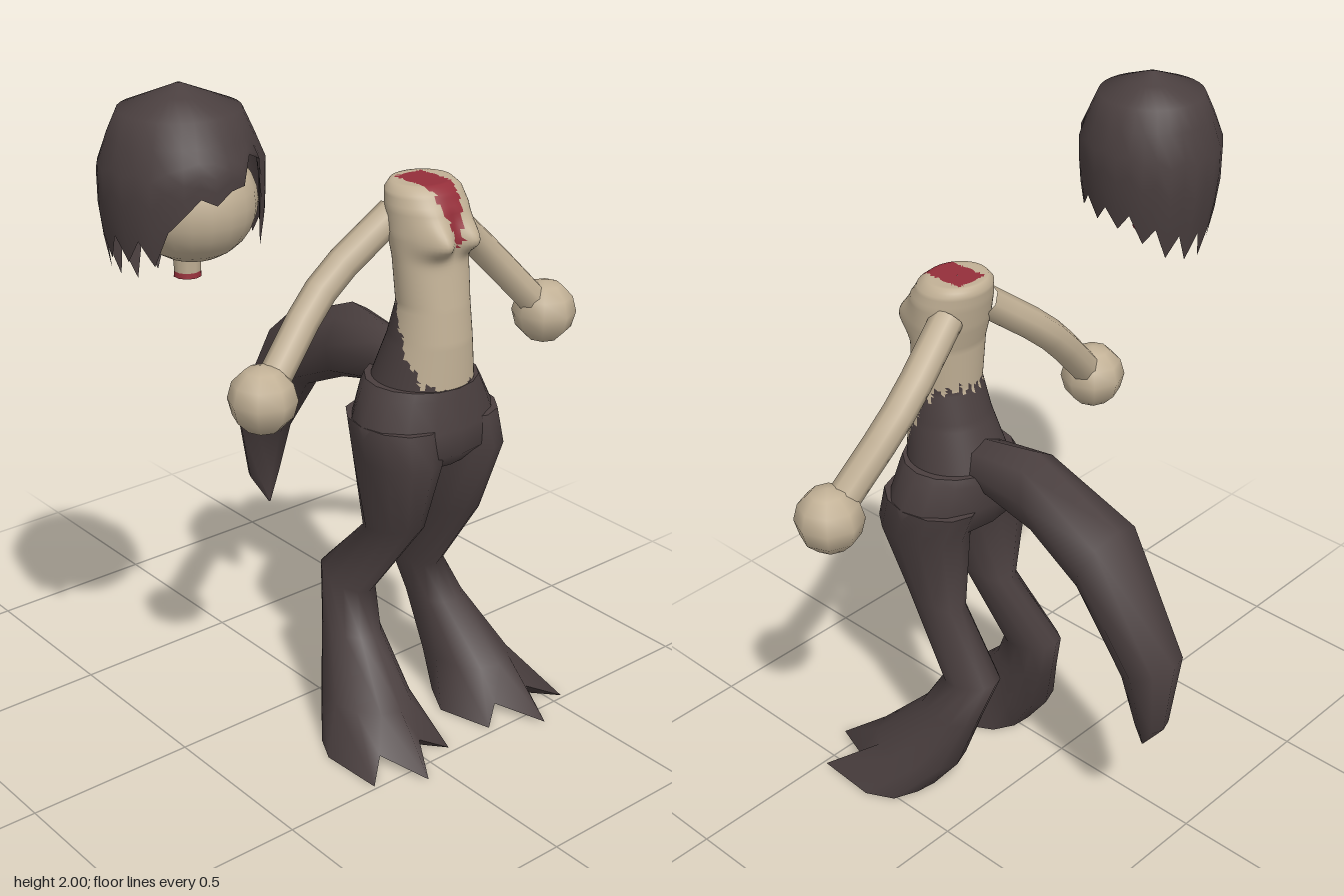
import * as THREE from 'three';

const TAU = Math.PI * 2;
const CX = 0.17; // body centre line

// Piecewise-linear lookup: rows are [key, v1, v2, ...] with descending or ascending keys
function lookup(rows, k) {
  const up = rows[0][0] < rows[rows.length - 1][0];
  const r = up ? rows : [...rows].reverse();
  if (k <= r[0][0]) return r[0].slice(1);
  for (let i = 1; i < r.length; i++) {
    if (k <= r[i][0]) {
      const t = (k - r[i - 1][0]) / (r[i][0] - r[i - 1][0]);
      return r[i].slice(1).map((v, j) => r[i - 1][j + 1] + (v - r[i - 1][j + 1]) * t);
    }
  }
  return r[r.length - 1].slice(1);
}

// Skin a list of rings; pick(centroid) chooses a material index for each triangle
function loft(rings, { flip = false, caps = true, pick = null } = {}) {
  const n = rings[0].length, pos = [], buckets = [[], [], []];
  const put = p => pos.push(p.x, p.y, p.z) / 3 - 1;
  const tri = (a, b, c) => {
    const mid = new THREE.Vector3();
    for (const k of [a, b, c]) mid.add(new THREE.Vector3().fromArray(pos, k * 3));
    const m = pick ? pick(mid.divideScalar(3)) : 0;
    buckets[m].push(...(flip ? [a, c, b] : [a, b, c]));
  };
  const ids = rings.map(r => r.map(put));
  for (let r = 0; r + 1 < ids.length; r++) {
    for (let i = 0; i < n; i++) {
      const j = (i + 1) % n, u = ids[r], l = ids[r + 1];
      tri(u[i], l[i], l[j]);
      tri(u[i], l[j], u[j]);
    }
  }
  if (caps) {
    [rings[0], rings[rings.length - 1]].forEach((ring, end) => {
      const centre = ring.reduce((s, p) => s.add(p), new THREE.Vector3()).divideScalar(n);
      const c = put(centre), e = ring.map(put);
      for (let i = 0; i < n; i++) {
        const j = (i + 1) % n;
        end ? tri(c, e[j], e[i]) : tri(c, e[i], e[j]);
      }
    });
  }
  const g = new THREE.BufferGeometry();
  g.setAttribute('position', new THREE.Float32BufferAttribute(pos, 3));
  g.setIndex(buckets.flat());
  let start = 0;
  if (pick) buckets.forEach((b, m) => { g.addGroup(start, b.length, m); start += b.length; });
  g.computeVertexNormals();
  return g;
}

// Tilted ellipse given by its front point, back point, centre x and half width
function ring([fy, fz, by, bz, cx, hw], n) {
  return Array.from({ length: n }, (_, i) => {
    const a = i / n * TAU, c = Math.cos(a) / 2;
    return new THREE.Vector3(cx + hw * Math.sin(a), (fy + by) / 2 + (fy - by) * c, (fz + bz) / 2 + (fz - bz) * c);
  });
}

const mirrorX = p => new THREE.Vector3(2 * CX - p.x, p.y, p.z);

function torsoGeometry() {
  // y, half width, front z, back z
  const profile = [[1.63, 0.088, 0.3, 0.14], [1.61, 0.108, 0.325, 0.13], [1.57, 0.117, 0.345, 0.135],
    [1.5, 0.118, 0.35, 0.15], [1.43, 0.112, 0.355, 0.17], [1.3, 0.105, 0.375, 0.18],
    [1.2, 0.118, 0.385, 0.15], [1.05, 0.148, 0.385, 0.09]];
  const n = 64, rings = [];
  const level = (y, s) => {
    const [hw, zf, zb] = lookup(profile, y);
    return ring([y, zf, y, zb, CX, hw], n).map(p => {
      const zc = (zf + zb) / 2;
      if (s === 1 && p.z > zc) { // chest volume
        const d = (Math.abs(p.x - CX) - 0.055) / 0.045;
        const e = (y - 1.485) / (y < 1.485 ? 0.035 : 0.06);
        p.z += 0.055 * Math.exp(-d * d - e * e) * Math.min(1, (p.z - zc) / 0.05);
      }
      p.x = CX + (p.x - CX) * s;
      p.z = zc + (p.z - zc) * s;
      return p;
    });
  };
  for (let s = 0.02; s < 0.99; s += 0.14) rings.push(level(1.63, s));
  for (let i = 0; i <= 58; i++) rings.push(level(1.63 - i * 0.01, 1));
  const furLine = [[0, 1.05], [0.5, 1.075], [0.9, 1.1], [1.3, 1.19], [1.6, 1.27], [1.9, 1.31], [3.2, 1.3]];
  const stain = [[1.46, 0.004], [1.54, 0.022], [1.58, 0.036], [1.64, 0.044]];
  return loft(rings, {
    caps: false,
    pick: p => {
      const a = Math.atan2(p.x - CX, p.z - 0.26);
      if (p.y < lookup(furLine, Math.abs(a))[0] + 0.012 * Math.sin(a * 17) + 0.008 * Math.sin(a * 31)) return 1;
      const wide = lookup(stain, p.y)[0] + 0.005 * Math.sin(p.y * 190);
      return p.y > 1.47 && p.z > 0.165 && Math.abs(p.x - CX) < wide ? 2 : 0;
    },
  });
}

function legGeometry(side) {
  const n = 12;
  const rings = [[0.97, 0.4, 0.97, 0.085, 0.065, 0.115], [0.87, 0.42, 0.87, 0.12, 0.055, 0.11],
    [0.66, 0.36, 0.61, 0.14, 0.065, 0.063], [0.4, 0.18, 0.44, -0.015, 0.04, 0.068],
    [0.29, 0.24, 0.29, 0.035, 0.008, 0.076], [0.13, 0.4, 0.12, 0.09, -0.025, 0.115]].map(r => ring(r, n));
  // Sole with three pointed toes
  const sole = [[-0.06, 0.56], [0.02, 0.43], [0.09, 0.48], [0.135, 0.32], [0.08, 0.22], [0.02, 0.185],
    [-0.04, 0.18], [-0.1, 0.19], [-0.17, 0.22], [-0.21, 0.3], [-0.2, 0.49], [-0.12, 0.42]];
  rings.push(sole.map(([x, z], i) => new THREE.Vector3(x, i === 1 || i === 11 ? 0.03 : 0, z)));
  return side > 0 ? loft(rings.map(r => r.map(mirrorX)), { flip: true }) : loft(rings);
}

function hairGeometry() {
  const profile = [[2, 0.004], [1.94, 0.15], [1.82, 0.203], [1.7, 0.202], [1.6, 0.188], [1.45, 0.155]];
  // Jagged lower edge, from the front round past the model's left
  const hem = [1.78, 1.785, 1.85, 1.83, 1.6, 1.62, 1.66, 1.6, 1.65, 1.59, 1.64, 1.55, 1.6, 1.5, 1.57, 1.48,
    1.56, 1.47, 1.56, 1.5, 1.59, 1.54, 1.64, 1.59, 1.66, 1.6, 1.66, 1.6, 1.69, 1.73, 1.77, 1.75];
  const at = (i, y) => {
    const a = i / hem.length * TAU, r = lookup(profile, y)[0];
    return new THREE.Vector3(-0.58 + r * Math.sin(a), y, 0.185 + r * 1.02 * Math.cos(a));
  };
  const rings = [2, 1.975, 1.94, 1.88].map(y => hem.map((_, i) => at(i, y)));
  for (let k = 1; k <= 4; k++) rings.push(hem.map((h, i) => at(i, 1.88 + (h - 1.88) * k / 4)));
  return loft(rings, { caps: false });
}

export function createModel() {
  const model = new THREE.Group();
  const material = (name, color, side = THREE.FrontSide) =>
    Object.assign(new THREE.MeshStandardMaterial({ color, side }), { name });
  const skin = material('skin', 0xc2b196);
  const fur = material('darkFur', 0x4a3f3f, THREE.DoubleSide);
  const red = material('red', 0x942f3a);
  const add = (name, geometry, mat, parent = model) => {
    const mesh = new THREE.Mesh(geometry, mat);
    mesh.name = name;
    parent.add(mesh);
    return mesh;
  };

  // Body
  add('torso', torsoGeometry(), [skin, fur, red]);
  add('hips', loft([[1.075, 0.39, 1.075, 0.085, CX, 0.165], [1.05, 0.395, 1.05, 0.08, CX, 0.18],
    [0.96, 0.41, 0.97, 0.08, CX, 0.222], [0.89, 0.415, 0.89, 0.11, CX, 0.222],
    [0.84, 0.37, 0.84, 0.17, CX, 0.15]].map(r => ring(r, 16))), fur);

  // Tail, listed as lower edge then upper edge
  add('tail', loft([[1, 0.18, 1.14, 0.2, CX, 0.07], [1, 0.1, 1.16, 0.11, CX, 0.075],
    [0.95, -0.1, 1.195, -0.06, CX, 0.085], [0.87, -0.27, 1.07, -0.36, CX, 0.115],
    [0.65, -0.41, 0.72, -0.565, CX, 0.09], [0.49, -0.45, 0.49, -0.535, CX, 0.052],
    [0.4, -0.46, 0.4, -0.465, CX, 0.003]].map(r => ring(r, 8))), fur);

  // Limbs
  for (const side of [-1, 1]) {
    const label = side > 0 ? 'left' : 'right';
    add(label + 'Leg', legGeometry(side), fur);
    const path = new THREE.CatmullRomCurve3([[0.07, 1.54, 0.19], [0.28, 1.37, 0.155], [0.49, 1.15, 0.19]]
      .map(([x, y, z]) => new THREE.Vector3(CX + side * x, y, z)));
    add(label + 'Arm', new THREE.TubeGeometry(path, 6, 0.046, 8), skin);
    add(label + 'Hand', new THREE.SphereGeometry(0.095, 8, 6), skin).position.set(CX + side * 0.52, 1.12, 0.195);
  }

  // Separate head
  const head = new THREE.Group();
  head.name = 'head';
  model.add(head);
  const face = add('face', new THREE.SphereGeometry(1, 20, 14), skin, head);
  face.scale.set(0.16, 0.15, 0.165);
  face.position.set(-0.58, 1.72, 0.225);
  add('neck', new THREE.CylinderGeometry(0.04, 0.034, 0.09, 10), skin, head).position.set(-0.58, 1.578, 0.2);
  add('neckEnd', new THREE.CylinderGeometry(0.034, 0.036, 0.014, 10), red, head).position.set(-0.58, 1.527, 0.2);
  add('hair', hairGeometry(), fur, head);
  return model;
}
